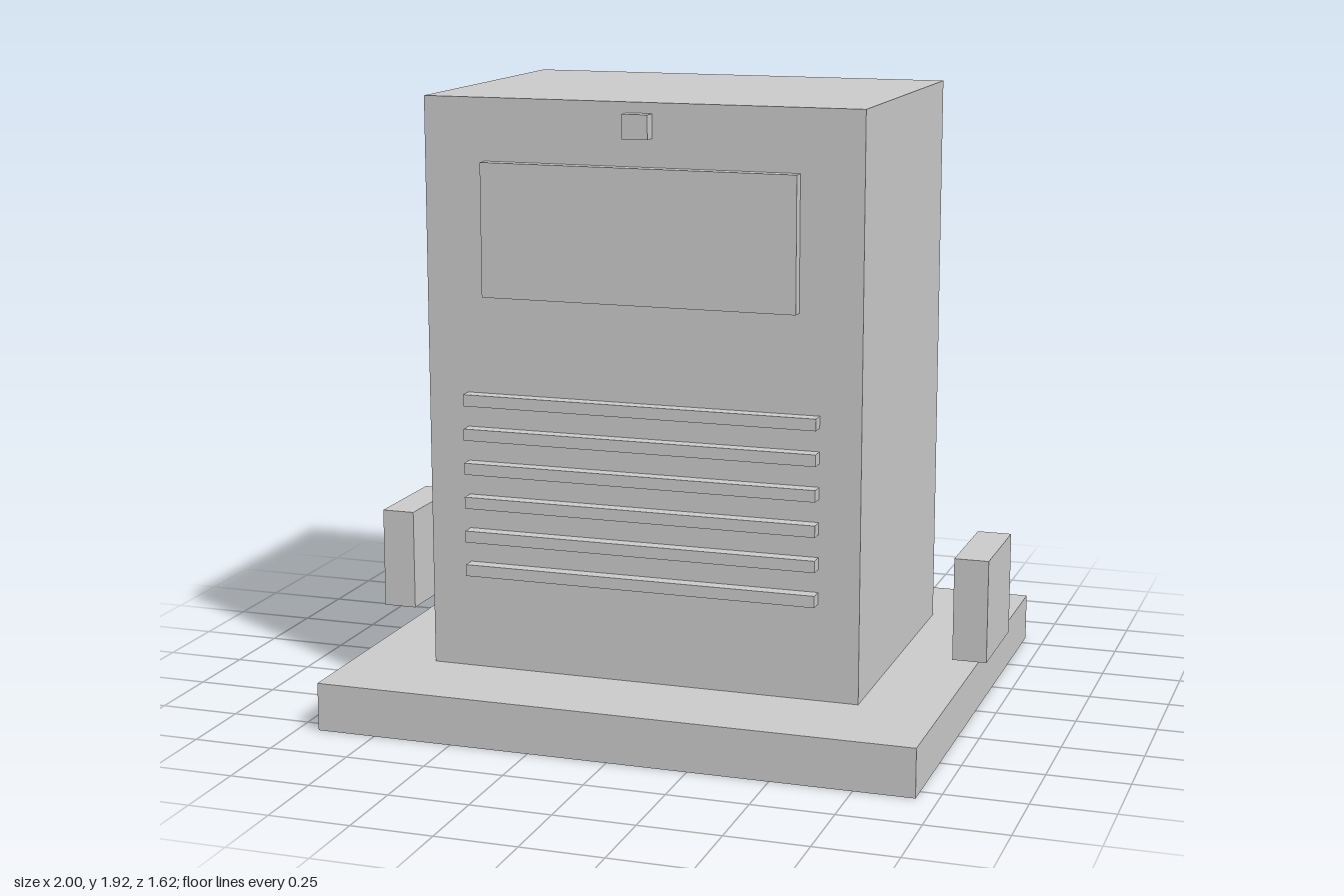
import * as THREE from 'three';

export function createModel() {
  const model = new THREE.Group();
  const material = new THREE.MeshStandardMaterial({ color: 0xcccccc, flatShading: true });

  // Box given by its size, centre x, bottom y and centre z
  function addBox(name, width, height, depth, x, bottom, z) {
    const mesh = new THREE.Mesh(new THREE.BoxGeometry(width, height, depth), material);
    mesh.name = name;
    mesh.position.set(x, bottom + height / 2, z);
    model.add(mesh);
  }

  const baseHeight = 0.15;
  const bodyDepth = 0.98;
  const front = bodyDepth / 2;

  // Plinth and cabinet
  addBox('base', 1.87, baseHeight, 1.615, 0, 0, 0);
  addBox('cabinet', 1.364, 1.767, bodyDepth, 0, baseHeight, 0);

  // Raised front panel and the small lamp above it
  addBox('frontPanel', 0.98, 0.407, 0.037, 0, 1.32, front + 0.0185);
  addBox('lamp', 0.08, 0.073, 0.043, 0, 1.812, front + 0.0215);

  // Row of vent slats
  for (let i = 0; i < 6; i++) {
    addBox('ventSlat' + (i + 1), 1.11, 0.036, 0.043, 0, 0.449 + i * 0.1068, front + 0.0215);
  }

  // Blocks standing off both sides
  for (const side of [-1, 1]) {
    addBox(side > 0 ? 'leftSideBlock' : 'rightSideBlock', 0.106, 0.32, 0.34, side * 0.947, 0.214, 0);
  }

  return model;
}
